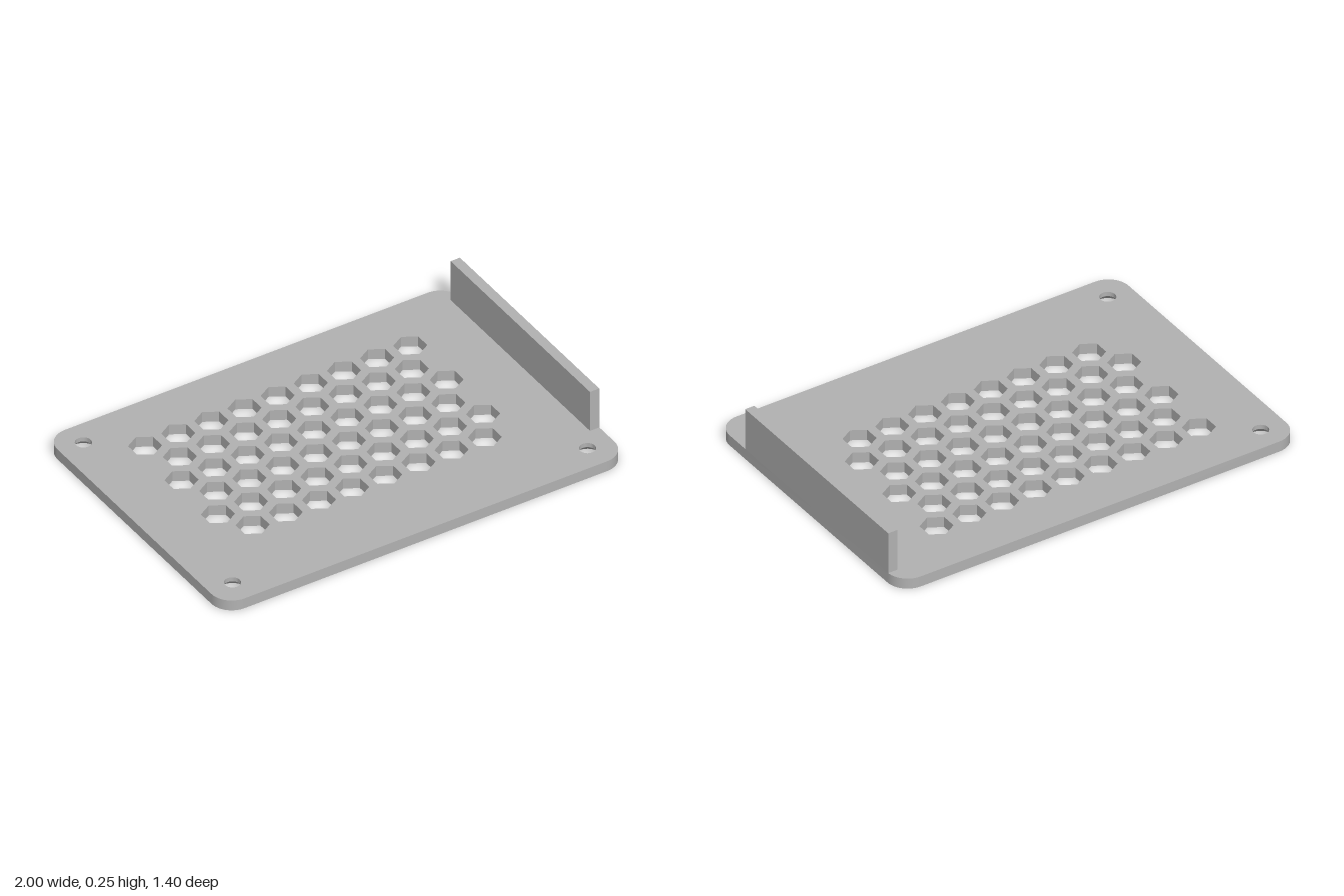
import * as THREE from 'three';
import { mergeGeometries, toCreasedNormals } from 'three/addons/utils/BufferGeometryUtils.js';

const W = 1, D = 0.702, T = 0.051, CORNER = 0.1;
const SINK_Y = 0.03, SINK_R = 0.065, SCREW_R = 0.036;

// Plan coordinates are (x, -z); the finished plate is laid flat at the end.
// Clockwise ring, so that walls built on it face into the hole
function ring(x, y, r, sides) {
  return Array.from({ length: sides }, (_, i) => {
    const a = Math.PI / 2 - (i / sides) * Math.PI * 2;
    return new THREE.Vector2(x + r * Math.cos(a), y + r * Math.sin(a));
  });
}

// Counter-clockwise rounded rectangle
function outline() {
  const pts = [];
  [[1, 1], [-1, 1], [-1, -1], [1, -1]].forEach(([sx, sy], q) => {
    for (let i = 0; i <= 12; i++) {
      const a = (q + i / 12) * Math.PI / 2;
      pts.push(new THREE.Vector2(
        sx * (W - CORNER) + CORNER * Math.cos(a),
        sy * (D - CORNER) + CORNER * Math.sin(a)));
    }
  });
  return pts;
}

// Wall strip between two matching loops at two heights
function band(a, ha, b, hb) {
  const pos = [];
  a.forEach((p, i) => {
    const j = (i + 1) % a.length;
    const A = [p.x, p.y, ha], B = [a[j].x, a[j].y, ha];
    const C = [b[j].x, b[j].y, hb], E = [b[i].x, b[i].y, hb];
    pos.push(...A, ...B, ...C, ...A, ...C, ...E);
  });
  return new THREE.BufferGeometry().setAttribute('position', new THREE.Float32BufferAttribute(pos, 3));
}

// Flat face with holes, facing up or down
function cap(edge, holes, h, up) {
  const shape = new THREE.Shape(edge);
  shape.holes = holes.map((pts) => new THREE.Path(pts));
  const g = new THREE.ShapeGeometry(shape);
  if (!up) g.index.array.reverse();
  const flat = g.toNonIndexed().translate(0, 0, h);
  flat.deleteAttribute('normal');
  flat.deleteAttribute('uv');
  return flat;
}

function plateGeometry() {
  const edge = outline();

  // Honeycomb vent: rows of nine and eight hexagons
  const hexes = [];
  const pitch = 0.1645, rowPitch = 0.1424;
  for (let row = 0; row < 6; row++) {
    const odd = row % 2;
    for (let i = 0; i < 9 - odd; i++) {
      hexes.push(ring(-0.676 + (i + odd / 2) * pitch, 0.428 - row * rowPitch, 0.0715, 6));
    }
  }

  // Countersunk screw holes in three corners
  const screws = [[-0.882, 0.586], [-0.882, -0.58], [0.88, -0.58]];
  const narrow = screws.map(([x, y]) => ring(x, y, SCREW_R, 32));
  const wide = screws.map(([x, y]) => ring(x, y, SINK_R, 32));

  const parts = [
    cap(edge, [...hexes, ...narrow], T, true),
    cap(edge, [...hexes, ...wide], 0, false),
    band(edge, 0, edge, T),
    ...hexes.map((h) => band(h, 0, h, T)),
    ...narrow.map((n, i) => band(wide[i], 0, n, SINK_Y)),
    ...narrow.map((n) => band(n, SINK_Y, n, T)),
  ];
  return toCreasedNormals(mergeGeometries(parts).rotateX(-Math.PI / 2), 0.5);
}

export function createModel() {
  const group = new THREE.Group();
  group.name = 'ventedCover';
  const grey = new THREE.MeshStandardMaterial({ color: 0xb2b2b2 });
  grey.name = 'grey';

  const plate = new THREE.Mesh(plateGeometry(), grey);
  plate.name = 'ventedPlate';
  group.add(plate);

  // Upright flange flush with the plate's left edge
  const x0 = 0.954, z0 = -0.607, z1 = 0.483, top = 0.254;
  const flange = new THREE.Mesh(new THREE.BoxGeometry(W - x0, top - T, z1 - z0), grey);
  flange.position.set((W + x0) / 2, (top + T) / 2, (z0 + z1) / 2);
  flange.name = 'sideFlange';
  group.add(flange);

  return group;
}
